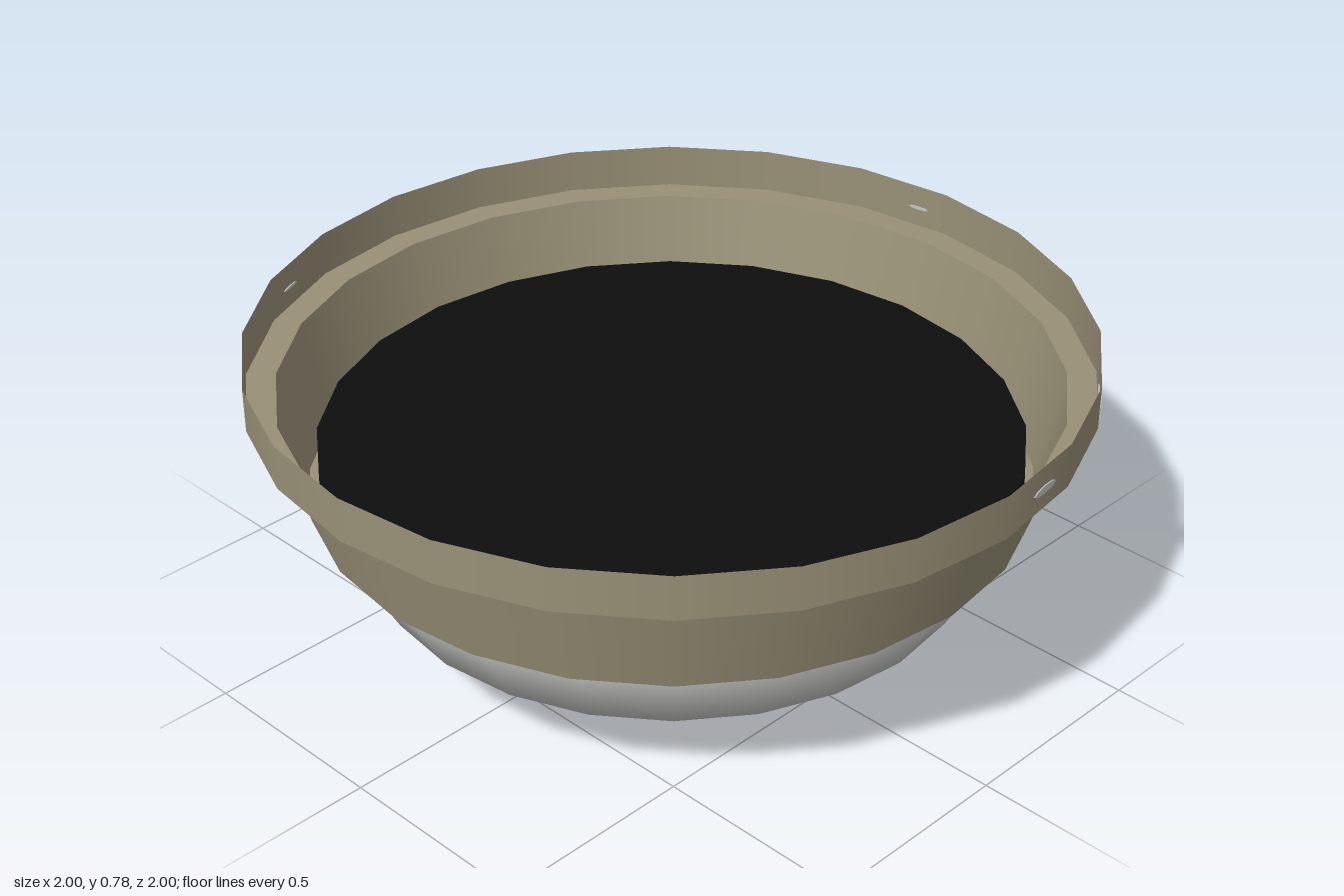
import * as THREE from 'three';

const SIDES = 24;

export function createModel() {
  const group = new THREE.Group();
  const material = (name, color, side = THREE.FrontSide) => {
    const m = new THREE.MeshStandardMaterial({ color, side });
    m.name = name;
    return m;
  };
  const beige = material('beige metal', 0x989076, THREE.DoubleSide);
  const glass = material('pale grey glass', 0xc2c4c1, THREE.DoubleSide);
  const black = material('black', 0x0e0e0e);

  const add = (name, geometry, mat) => {
    const mesh = new THREE.Mesh(geometry, mat);
    mesh.name = name;
    group.add(mesh);
    return mesh;
  };

  // Thin metal housing: each band is separate so its edges stay sharp
  const band = (name, rTop, yTop, rBottom, yBottom) => add(name,
    new THREE.CylinderGeometry(rTop, rBottom, yTop - yBottom, SIDES, 1, true)
      .translate(0, (yTop + yBottom) / 2, 0), beige);
  const ledge = (name, rInner, rOuter, y) => add(name,
    new THREE.RingGeometry(rInner, rOuter, SIDES).rotateX(-Math.PI / 2).translate(0, y, 0), beige);
  band('rimWall', 1, 0.78, 1, 0.67);
  ledge('rimLedge', 0.93, 1, 0.67);
  band('housingWall', 0.93, 0.67, 0.87, 0.405);
  ledge('bowlLedge', 0.84, 0.87, 0.405);

  // Shallow glass bowl: lower half of a squashed sphere
  add('glassBowl', new THREE.SphereGeometry(1, SIDES, 3, 0, Math.PI * 2, Math.PI / 2, Math.PI / 2)
    .scale(0.845, 0.41, 0.845).translate(0, 0.41, 0), glass);

  // Dark backing plate over the bowl
  add('backingPlate', new THREE.CylinderGeometry(0.845, 0.845, 0.11, SIDES)
    .translate(0, 0.465, 0), black);

  // Small fasteners set in the rim: angle from the front, half width, half height
  const fasteners = [[33.5, 0.055, 0.015], [8.8, 0.045, 0.01], [94.6, 0.03, 0.004], [205, 0.03, 0.004]];
  for (const [degrees, halfWidth, halfHeight] of fasteners) {
    const facet = Math.floor(degrees / 15) * 15 + 7.5;
    const apothem = Math.cos(Math.PI / SIDES);
    const offset = apothem * Math.tan(THREE.MathUtils.degToRad(degrees - facet));
    const plate = new THREE.CylinderGeometry(1, 1, 0.006, 8).rotateX(Math.PI / 2)
      .scale(halfWidth, halfHeight, 1)
      .translate(offset, 0.72, apothem)
      .rotateY(THREE.MathUtils.degToRad(facet));
    add('rimFastener', plate, glass);
  }
  return group;
}
